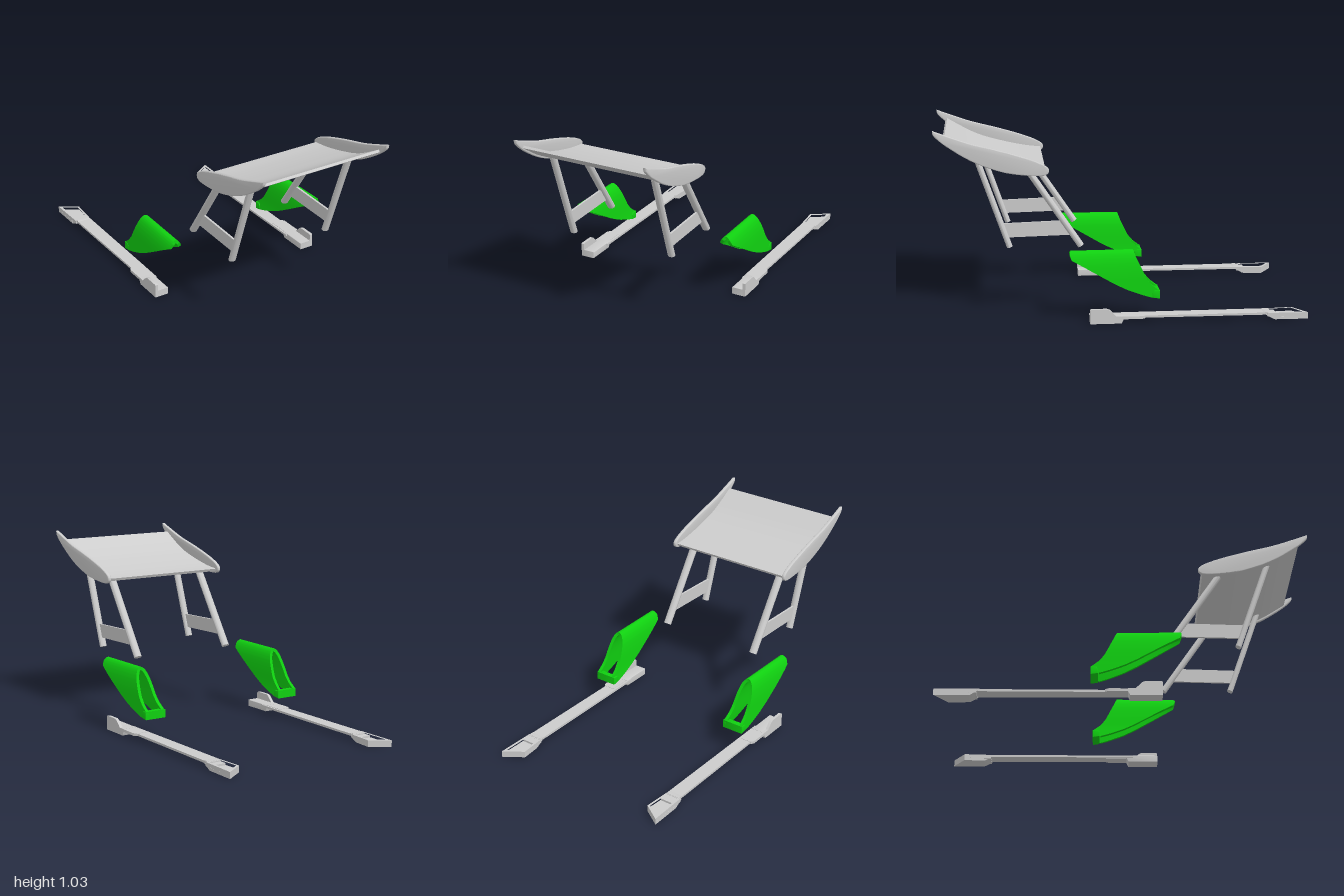
import * as THREE from 'three';
import { toCreasedNormals } from 'three/addons/utils/BufferGeometryUtils.js';

const grey = new THREE.MeshStandardMaterial({ color: 0xcccccc });
const green = new THREE.MeshStandardMaterial({ color: 0x10d010 });
const v2 = (pts) => pts.map(([a, b]) => new THREE.Vector2(a, b));
const smooth = (pts, n) => new THREE.SplineCurve(v2(pts)).getPoints(n);

// Side profile of (z, y) points, extruded across x0..x1
function sideExtrude(pts, x0, x1, bevel = 0) {
  const g = new THREE.ExtrudeGeometry(new THREE.Shape(pts), {
    depth: x1 - x0 - 2 * bevel, bevelEnabled: bevel > 0, bevelSize: bevel,
    bevelThickness: bevel, bevelOffset: -bevel, bevelSegments: 3 });
  return g.rotateY(-Math.PI / 2).translate(x1 - bevel, 0, 0);
}

// Plan outline of (x, z) points, extruded up from y0 to y1
function planExtrude(pts, y0, y1, hole) {
  const flat = (p) => v2(p.map(([x, z]) => [x, -z]));
  const s = new THREE.Shape(flat(pts));
  if (hole) s.holes.push(new THREE.Path(flat(hole)));
  const g = new THREE.ExtrudeGeometry(s, { depth: y1 - y0, bevelEnabled: false });
  return g.rotateX(-Math.PI / 2).translate(0, y0, 0);
}

// Flattened round leg between two (z, y) points
function leg(x, [z0, y0], [z1, y1], width, depth) {
  const dz = z1 - z0, dy = y1 - y0;
  return new THREE.CylinderGeometry(0.5, 0.5, Math.hypot(dz, dy), 28)
    .scale(width, 1, depth).rotateX(Math.atan2(dz, dy))
    .translate(x, (y0 + y1) / 2, (z0 + z1) / 2);
}

function mirror(geometry) {
  const g = geometry.clone().scale(-1, 1, 1);
  for (const a of Object.values(g.attributes)) {
    const n = a.itemSize;
    for (let i = 0; i < a.array.length; i += 3 * n) {
      for (let k = 0; k < n; k++) {
        const t = a.array[i + n + k];
        a.array[i + n + k] = a.array[i + 2 * n + k];
        a.array[i + 2 * n + k] = t;
      }
    }
  }
  return g;
}

// Linear lookup in a table of (y, z) pairs
function lookup(table, y) {
  for (let i = 1; i < table.length; i++) {
    const [ya, za] = table[i - 1], [yb, zb] = table[i];
    if (y <= yb) return za + (zb - za) * Math.max(0, (y - ya) / (yb - ya));
  }
  return table[table.length - 1][1];
}

// Arched hollow scoop, trimmed by a rear curve and a sloping lower front curve
function scoopGeometry() {
  const arch = new THREE.SplineCurve(v2([[0.385, 0.14], [0.393, 0.2], [0.4, 0.28], [0.41, 0.34],
    [0.428, 0.38], [0.452, 0.395], [0.475, 0.38], [0.492, 0.34], [0.502, 0.28], [0.507, 0.2], [0.51, 0.14]]));
  const rear = [[0.13, -0.195], [0.175, -0.195], [0.21, -0.15], [0.245, -0.122], [0.29, -0.1], [0.35, -0.072], [0.395, -0.055]];
  const front = [[0.13, -0.195], [0.14, -0.15], [0.155, -0.1], [0.185, -0.02], [0.22, 0.05], [0.31, 0.205], [0.35, 0.275], [0.38, 0.285], [0.395, 0.28]];
  const N = 72, T = 0.018, pos = [], idx = [];
  for (let i = 0; i <= N; i++) {
    const p = arch.getPoint(i / N), t = arch.getTangent(i / N);
    const zr = lookup(rear, p.y), zf = lookup(front, p.y);
    const q = { x: p.x + t.y * T, y: p.y - t.x * T };
    const shear = (z) => 0.008 * (z + 0.2) / 0.48;
    for (const [c, z] of [[p, zr], [p, zf], [q, zf], [q, zr]]) pos.push(c.x + shear(z), c.y, z);
  }
  for (let i = 0; i < N; i++) for (let j = 0; j < 4; j++) {
    const a = i * 4 + j, b = i * 4 + (j + 1) % 4;
    idx.push(a, b, b + 4, a, b + 4, a + 4);
  }
  const g = new THREE.BufferGeometry();
  g.setAttribute('position', new THREE.Float32BufferAttribute(pos, 3));
  g.setIndex(idx);
  return g;
}

export function createModel() {
  const model = new THREE.Group();
  const add = (name, geo, mat = grey, pair = true) => {
    const src = geo.index ? geo.toNonIndexed() : geo;
    src.computeVertexNormals();
    const g = toCreasedNormals(src, 0.6);
    const put = (n, gg) => {
      const m = new THREE.Mesh(gg, mat);
      m.name = n;
      model.add(m);
    };
    put(pair ? name + 'Left' : name, g);
    if (pair) put(name + 'Right', mirror(g));
  };

  // Curved wing blade
  const top = smooth([[0.402, 0.815], [0.5, 0.827], [0.64, 0.858], [0.78, 0.903], [0.935, 0.988]], 24);
  const under = smooth([[0.945, 0.978], [0.79, 0.882], [0.65, 0.837], [0.5, 0.807], [0.41, 0.8]], 24);
  add('wingBlade', sideExtrude([...top, ...under], -0.372, 0.372), grey, false);

  // Wing end plates
  const plate = smooth([[0.995, 1.036], [0.93, 1.012], [0.8, 0.967], [0.65, 0.928], [0.5, 0.883], [0.41, 0.845],
    [0.385, 0.815], [0.41, 0.789], [0.5, 0.79], [0.63, 0.81], [0.78, 0.865], [0.91, 0.943], [0.985, 1.005], [0.995, 1.036]], 64);
  plate.pop();
  add('endPlate', sideExtrude(plate, 0.368, 0.388, 0.005));

  // Wing legs and their brace
  add('frontLeg', leg(0.303, [0.598, 0.385], [0.772, 0.885], 0.042, 0.032));
  add('rearLeg', leg(0.303, [0.213, 0.385], [0.5, 0.812], 0.046, 0.036));
  add('legBrace', sideExtrude(v2([[0.635, 0.515], [0.61, 0.438], [0.265, 0.446], [0.315, 0.525]]), 0.297, 0.309));

  // Green scoops with the bar closing the bottom of the opening
  add('scoop', scoopGeometry(), green);
  add('scoopBar', sideExtrude(v2([[-0.195, 0.132], [-0.155, 0.138], [-0.155, 0.165], [-0.165, 0.177], [-0.195, 0.177]]),
    0.384, 0.511, 0.003), green);

  // Side runners: long strip, widened front shelf, upright front block
  add('runnerStrip', planExtrude([[0.443, 0.04], [0.515, 0.04], [0.52, -0.79], [0.438, -0.79]], 0.03, 0.042));
  add('runnerShelf', planExtrude([[0.455, 0.05], [0.532, 0.05], [0.532, -0.1], [0.52, -0.118], [0.455, -0.118]], 0.029, 0.044));
  add('frontBlock', sideExtrude(v2([[0.18, 0.006], [0.18, 0.045], [0, 0.045], [0, 0.03], [0.012, 0.006]]), 0.45, 0.53, 0.003));
  add('frontBlockWall', sideExtrude(v2([[0.18, 0.006], [0.18, 0.083], [0.172, 0.086], [0.09, 0.086], [0.075, 0.08],
    [0.04, 0.045], [0, 0.045], [0, 0.03], [0.012, 0.006]]), 0.515, 0.532));

  // Rear tray: floor, raised rim, sloped underside and small step
  add('trayFloor', planExtrude([[0.434, -0.82], [0.425, -0.93], [0.53, -1], [0.528, -0.82]], 0.005, 0.021));
  add('trayRim', planExtrude([[0.436, -0.78], [0.425, -0.93], [0.53, -1], [0.526, -0.78]], 0.02, 0.041,
    [[0.447, -0.8], [0.437, -0.922], [0.515, -0.972], [0.513, -0.8]]));
  add('traySlope', sideExtrude(v2([[-0.77, 0.032], [-0.83, 0.032], [-0.83, 0.005], [-0.815, 0.005]]), 0.436, 0.526));
  add('trayStep', sideExtrude(v2([[-0.755, 0.03], [-0.755, 0.041], [-0.765, 0.044], [-0.785, 0.044], [-0.79, 0.03]]), 0.443, 0.52));

  // Rest on the ground
  const box = new THREE.Box3().setFromObject(model);
  for (const m of model.children) m.geometry.translate(0, -box.min.y, 0);
  return model;
}
